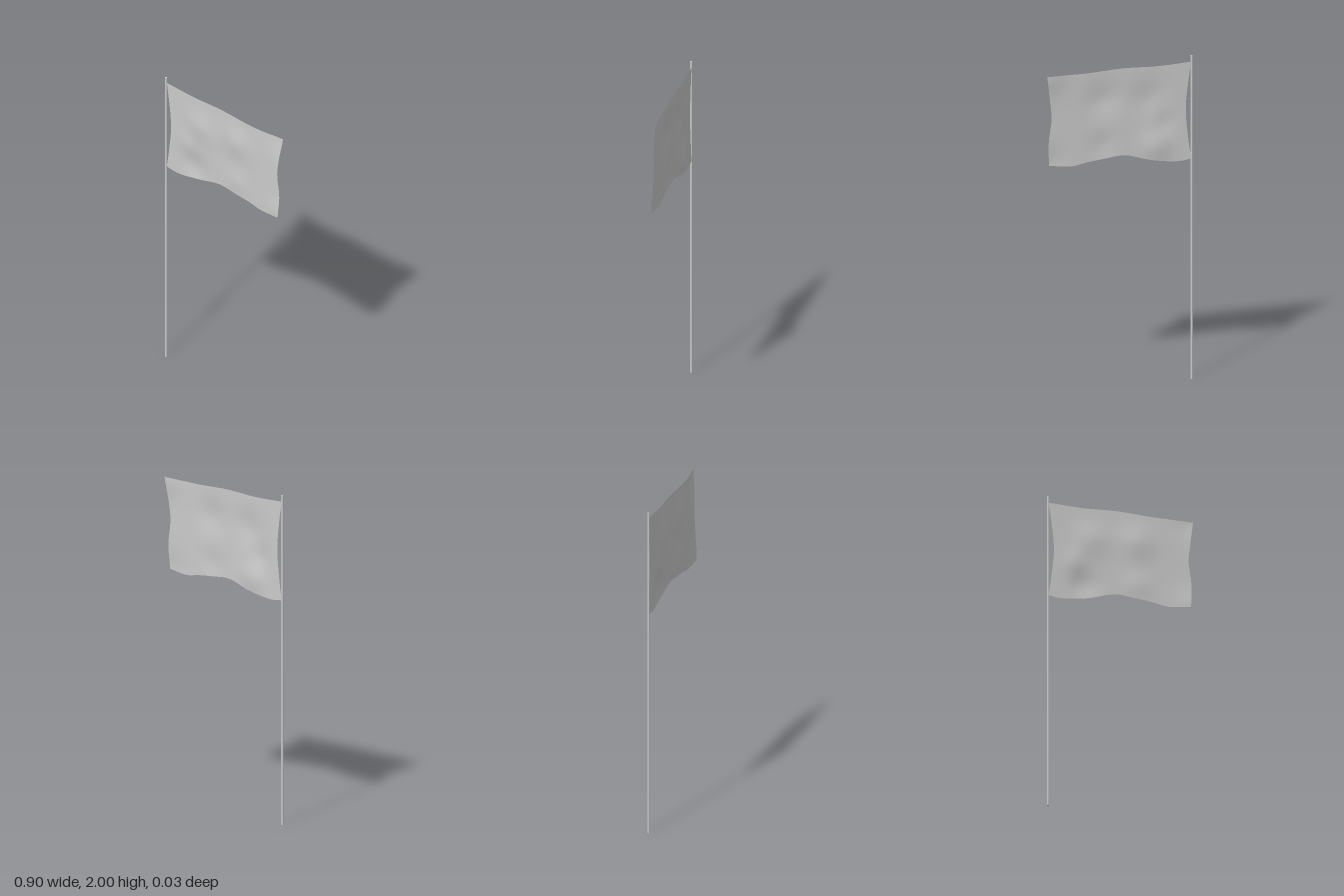
import * as THREE from 'three';

// Smooth edge curve through [x, y] points
const edge = (...pts) =>
  new THREE.CatmullRomCurve3(pts.map(([x, y]) => new THREE.Vector3(x, y, 0)));

// Gentle folds in the cloth: centre x, y, depth z, spread
const FOLDS = [
  [-0.22, 1.46, -0.013, 0.09],
  [-0.18, 1.76, 0.012, 0.10],
  [-0.30, 1.60, 0.009, 0.08],
  [0.10, 1.78, 0.013, 0.10],
  [0.10, 1.50, 0.007, 0.08],
  [0.45, 1.96, -0.015, 0.11],
  [0.43, 1.42, 0.010, 0.09],
];

function clothDepth(x, y) {
  let z = -0.001;
  for (const [cx, cy, depth, spread] of FOLDS) {
    z += depth * Math.exp(-((x - cx) ** 2 + (y - cy) ** 2) / (spread * spread));
  }
  return z;
}

function clothGeometry() {
  const top = edge([-0.443, 1.962], [-0.24, 1.956], [-0.02, 1.964], [0.21, 1.956], [0.45, 1.962]);
  const bottom = edge([-0.443, 1.363], [-0.36, 1.355], [-0.2, 1.38], [-0.03, 1.425],
    [0.09, 1.416], [0.2, 1.405], [0.29, 1.39], [0.43, 1.403]);
  const left = edge([-0.443, 1.363], [-0.424, 1.5], [-0.41, 1.67], [-0.424, 1.83], [-0.443, 1.962]);
  const right = edge([0.43, 1.403], [0.435, 1.55], [0.418, 1.7], [0.43, 1.82], [0.45, 1.962]);
  const [bl, br, tl, tr] = [bottom.getPoint(0), bottom.getPoint(1), top.getPoint(0), top.getPoint(1)];

  // Blend the four edges across a grid, then push in the folds
  const geometry = new THREE.PlaneGeometry(1, 1, 48, 36);
  const pos = geometry.attributes.position;
  for (let i = 0; i < pos.count; i++) {
    const u = THREE.MathUtils.clamp(pos.getX(i) + 0.5, 0, 1);
    const v = THREE.MathUtils.clamp(pos.getY(i) + 0.5, 0, 1);
    const p = new THREE.Vector3()
      .addScaledVector(bottom.getPointAt(u), 1 - v)
      .addScaledVector(top.getPointAt(u), v)
      .addScaledVector(left.getPointAt(v), 1 - u)
      .addScaledVector(right.getPointAt(v), u)
      .addScaledVector(bl, -(1 - u) * (1 - v))
      .addScaledVector(br, -u * (1 - v))
      .addScaledVector(tl, -(1 - u) * v)
      .addScaledVector(tr, -u * v);
    pos.setXYZ(i, p.x, p.y, clothDepth(p.x, p.y) * Math.min(1, u * 6));
  }
  geometry.computeVertexNormals();
  return geometry;
}

export function createModel() {
  const group = new THREE.Group();
  group.name = 'flagOnPole';

  // Pole
  const pole = new THREE.Mesh(
    new THREE.CylinderGeometry(0.0065, 0.0065, 2, 16),
    new THREE.MeshStandardMaterial({ color: 0xcccccc })
  );
  pole.name = 'pole';
  pole.position.set(-0.447, 1, 0.002);
  group.add(pole);

  // Flag cloth
  const cloth = new THREE.Mesh(
    clothGeometry(),
    new THREE.MeshStandardMaterial({ color: 0xcccccc, side: THREE.DoubleSide })
  );
  cloth.name = 'flagCloth';
  group.add(cloth);

  return group;
}
